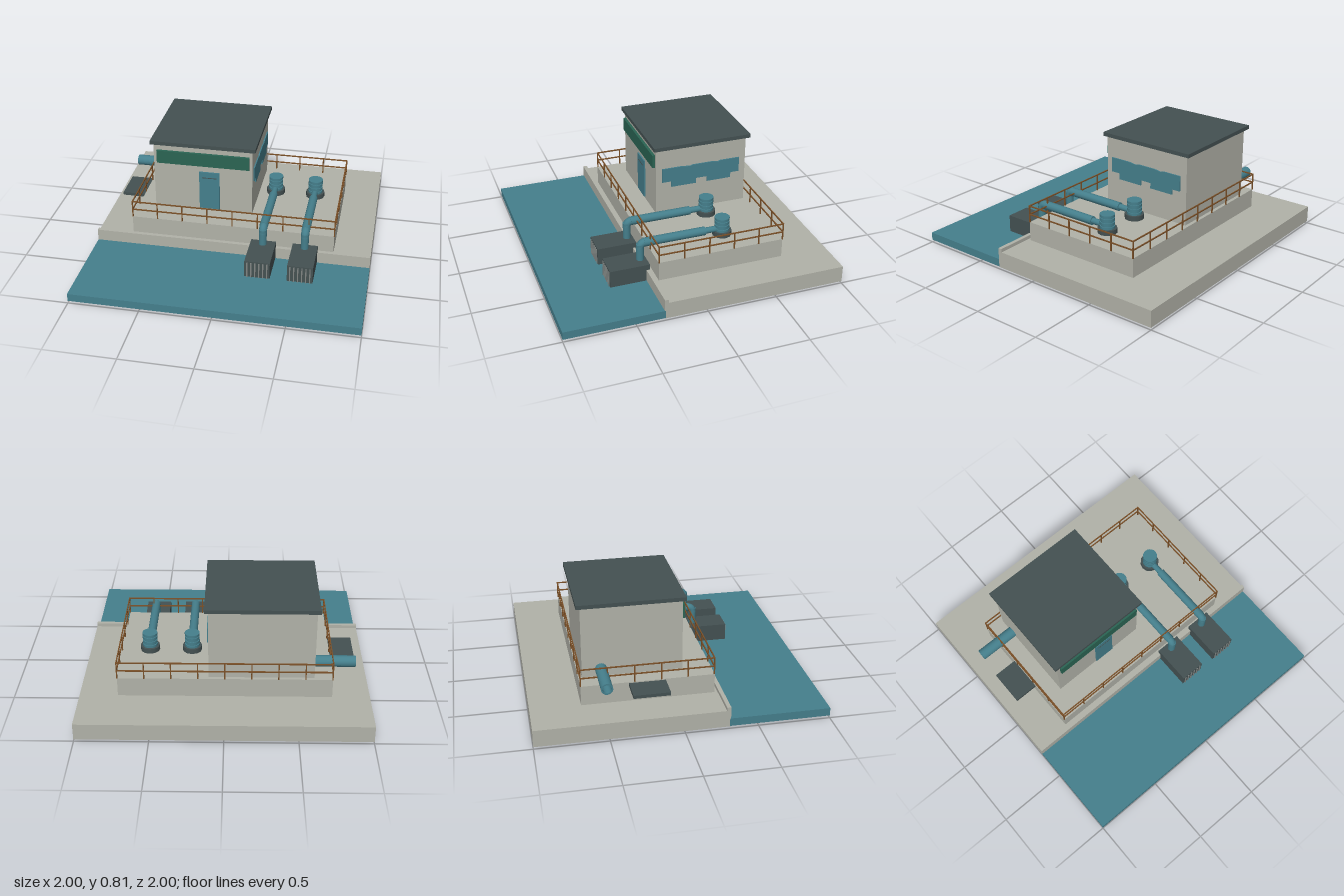
import * as THREE from 'three';

const mat = (name, color) => Object.assign(new THREE.MeshStandardMaterial({ color }), { name });

export function createModel() {
  const concrete = mat('concrete', 0xb1b2a8);
  const teal = mat('teal', 0x457f8c);
  const dark = mat('dark slate', 0x445152);
  const green = mat('sign green', 0x2a6453);
  const brown = mat('rail brown', 0x7a5028);
  const steel = mat('steel', 0x7f8482);
  const root = new THREE.Group();
  root.name = 'pumpStation';

  const add = (name, geo, material, parent = root) => {
    const m = new THREE.Mesh(geo, material);
    m.name = name;
    parent.add(m);
    return m;
  };
  // Box given by its extents on each axis
  const box = (name, material, [x0, x1], [y0, y1], [z0, z1], parent = root) => {
    const g = new THREE.BoxGeometry(x1 - x0, y1 - y0, z1 - z0);
    g.translate((x0 + x1) / 2, (y0 + y1) / 2, (z0 + z1) / 2);
    return add(name, g, material, parent);
  };

  // Ground, water and embankment
  box('groundSlab', concrete, [-1, 1], [0.015, 0.135], [-1, 0.285]);
  box('bankWall', concrete, [-1, 1], [0.015, 0.16], [0.28, 0.308]);
  box('water', teal, [-1, 1], [0.018, 0.075], [0.302, 1]);
  box('platform', concrete, [-0.74, 0.735], [0.135, 0.275], [-0.655, 0.258]);

  // Pump house
  box('houseWalls', concrete, [-0.615, 0.11], [0.275, 0.788], [-0.63, 0.06]);
  box('roof', dark, [-0.637, 0.134], [0.786, 0.814], [-0.657, 0.08]);
  box('signBoard', green, [-0.59, 0.09], [0.642, 0.74], [0.06, 0.08]);
  box('door', teal, [-0.28, -0.13], [0.29, 0.59], [0.06, 0.07]);
  box('doorTrim', dark, [-0.257, -0.15], [0.543, 0.548], [0.07, 0.073]);

  // Wall panel with a notched outline on the side of the house
  const outline = [
    [-0.015, 0.525], [0.055, 0.525], [0.055, 0.48], [0.245, 0.48], [0.245, 0.52],
    [0.33, 0.52], [0.33, 0.48], [0.515, 0.48], [0.515, 0.52], [0.58, 0.52], [0.58, 0.632],
    [0.435, 0.632], [0.415, 0.624], [0.36, 0.632], [0.22, 0.632], [0.2, 0.624],
    [0.14, 0.632], [-0.015, 0.632],
  ].map(p => new THREE.Vector2(...p));
  const panel = new THREE.ExtrudeGeometry(new THREE.Shape(outline), { depth: 0.009, bevelEnabled: false });
  panel.rotateY(Math.PI / 2);
  panel.translate(0.11, 0, 0);
  add('wallPanel', panel, teal);

  // Hollow outlet pipe and the plate beside it
  const ring = new THREE.Shape().absarc(0, 0, 0.04, 0, Math.PI * 2);
  ring.holes.push(new THREE.Path().absarc(0, 0, 0.03, 0, Math.PI * 2));
  const outlet = new THREE.ExtrudeGeometry(ring, { depth: 0.29, bevelEnabled: false, curveSegments: 16 });
  outlet.rotateY(Math.PI / 2);
  outlet.translate(-0.903, 0.33, -0.5);
  add('outletPipe', outlet, teal);
  box('outletPlate', dark, [-0.912, -0.738], [0.245, 0.268], [-0.33, -0.08]);

  // Pumps, each with its suction pipe and intake cage
  const ribbed = [[0, 0.3], [0.045, 0.3]];
  for (const y of [0.315, 0.345, 0.375]) {
    ribbed.push([0.045, y], [0.053, y], [0.053, y + 0.02], [0.045, y + 0.02]);
  }
  ribbed.push([0.045, 0.402], [0.053, 0.402], [0.053, 0.42], [0, 0.42]);
  for (const x of [0.235, 0.535]) {
    const unit = new THREE.Group();
    unit.name = 'pumpUnit';
    unit.position.x = x;
    root.add(unit);

    // Each profile step gets its own ring so the edges stay sharp
    for (let i = 0; i < ribbed.length - 1; i++) {
      const pts = [ribbed[i], ribbed[i + 1]].map(p => new THREE.Vector2(...p));
      add('pumpBody', new THREE.LatheGeometry(pts, 20), teal, unit).position.z = -0.28;
    }
    const tube = (name, r, len, y, z, material, alongZ) => {
      const m = add(name, new THREE.CylinderGeometry(r, r, len, 12), material, unit);
      m.position.set(0, y, z);
      if (alongZ) m.rotation.x = Math.PI / 2;
    };
    tube('pumpBase', 0.069, 0.036, 0.3, -0.28, dark);
    tube('pumpNozzle', 0.022, 0.12, 0.33, -0.2, teal, true);
    tube('suctionPipe', 0.031, 0.45, 0.33, 0.073, teal, true);
    tube('dropPipe', 0.028, 0.14, 0.25, 0.325, teal);
    const bend = new THREE.QuadraticBezierCurve3(
      new THREE.Vector3(0, 0.33, 0.285),
      new THREE.Vector3(0, 0.33, 0.325),
      new THREE.Vector3(0, 0.285, 0.325));
    add('pipeElbow', new THREE.TubeGeometry(bend, 8, 0.029, 12), teal, unit);

    box('intakeCage', dark, [-0.09, 0.09], [0, 0.2], [0.283, 0.568], unit);
    for (let i = 0; i < 6; i++) {
      const bx = -0.07 + i * 0.028;
      box('intakeBar', steel, [bx - 0.004, bx + 0.004], [0.075, 0.192], [0.568, 0.574], unit);
    }
  }

  // Railing around the platform
  const rail = new THREE.Group();
  rail.name = 'railing';
  root.add(rail);
  const [xa, xb, za, zb, t] = [-0.738, 0.735, -0.655, 0.255, 0.004];
  for (const y of [0.335, 0.398]) {
    for (const z of [za, zb]) box('rail', brown, [xa - t, xb + t], [y - t, y + t], [z - t, z + t], rail);
    for (const x of [xa, xb]) box('rail', brown, [x - t, x + t], [y - t, y + t], [za, zb], rail);
  }
  const post = (x, z) => box('railPost', brown, [x - t, x + t], [0.275, 0.4], [z - t, z + t], rail);
  for (let i = 0; i <= 8; i++) for (const z of [za, zb]) post(xa + (xb - xa) * i / 8, z);
  for (let i = 1; i < 5; i++) for (const x of [xa, xb]) post(x, za + (zb - za) * i / 5);

  return root;
}
